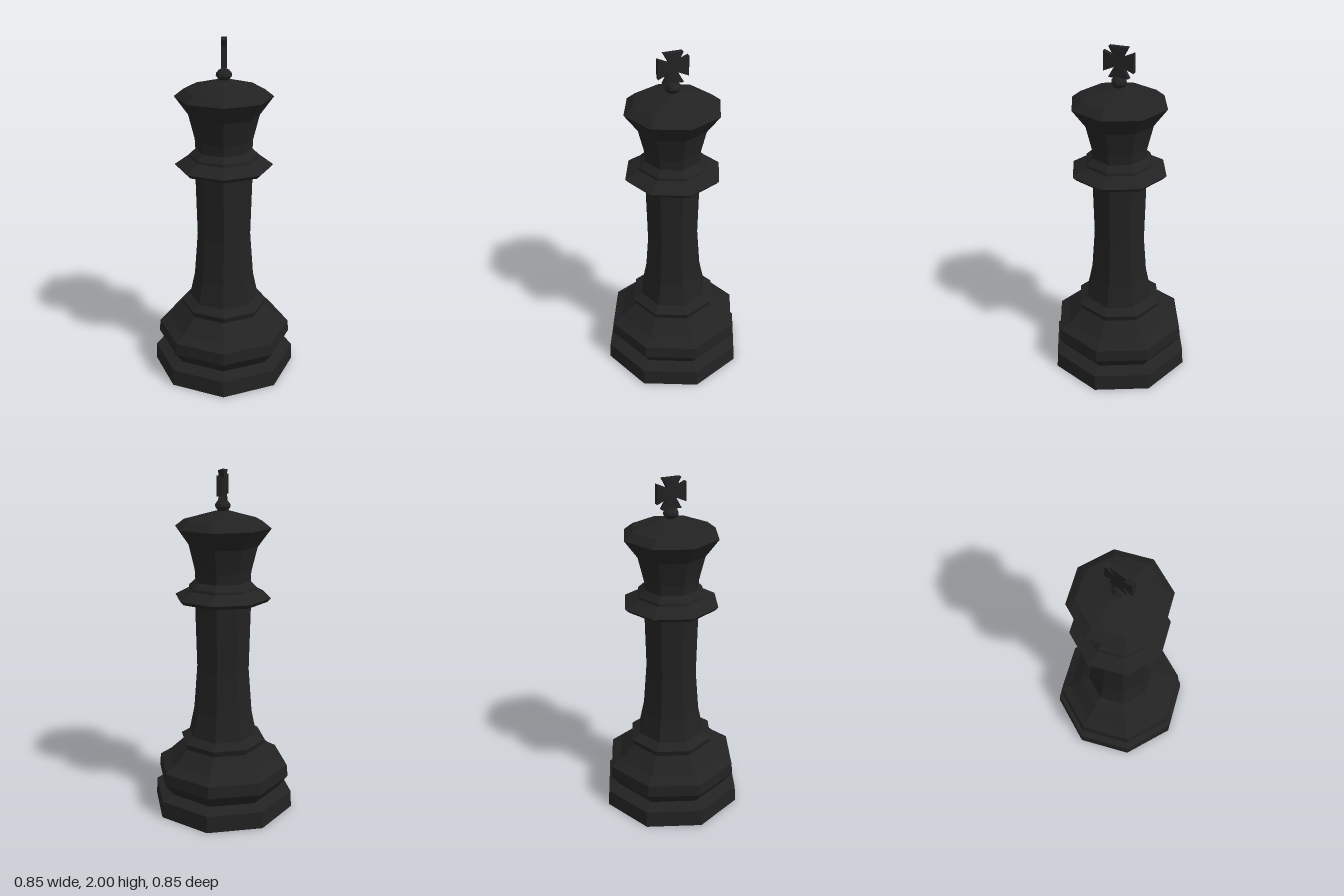
import * as THREE from 'three';

const material = new THREE.MeshStandardMaterial({ color: 0x222222, flatShading: true });

// Eight-sided turned part from [radius, height] pairs, corners on the axes
function turned(name, profile) {
  const points = profile.map(([r, y]) => new THREE.Vector2(r, y));
  const mesh = new THREE.Mesh(new THREE.LatheGeometry(points, 8), material);
  mesh.name = name;
  return mesh;
}

// Flared cross, one quarter outline mirrored around its centre
function cross() {
  const outline = [
    [0.055, 0.083], [0.025, 0.028], [0.086, 0.055],
    [0.086, -0.055], [0.025, -0.028], [0.058, -0.087],
  ];
  const mirrored = outline.map(([x, y]) => [-x, y]).reverse();
  const shape = new THREE.Shape([...outline, ...mirrored].map(([x, y]) => new THREE.Vector2(x, y)));
  const geometry = new THREE.ExtrudeGeometry(shape, { depth: 0.03, bevelEnabled: false });
  geometry.translate(0, 0, -0.015).rotateY(Math.PI / 2);
  const mesh = new THREE.Mesh(geometry, material);
  mesh.position.y = 1.917;
  mesh.name = 'cross';
  return mesh;
}

export function createModel() {
  const group = new THREE.Group();
  group.name = 'chessKing';
  group.add(
    // Stepped foot
    turned('base', [
      [0, 0], [0.425, 0], [0.42, 0.1], [0.345, 0.125], [0.4, 0.2], [0.393, 0.27],
      [0.335, 0.305], [0.245, 0.39], [0.256, 0.425], [0.205, 0.458],
    ]),
    // Tapering column
    turned('shaft', [[0.205, 0.458], [0.175, 0.6], [0.155, 0.86], [0.165, 1.255]]),
    // Projecting ring under the head
    turned('collar', [
      [0.165, 1.255], [0.19, 1.255], [0.26, 1.268], [0.281, 1.29],
      [0.2, 1.335], [0.198, 1.35], [0.162, 1.383],
    ]),
    // Flared crown with a low conical roof
    turned('head', [
      [0.162, 1.383], [0.165, 1.44], [0.2, 1.58], [0.277, 1.685], [0.225, 1.725], [0.03, 1.778],
    ]),
    // Small knob below the cross
    turned('finial', [[0.03, 1.778], [0.045, 1.8], [0.042, 1.815], [0.028, 1.832], [0, 1.836]]),
    cross(),
  );
  return group;
}
